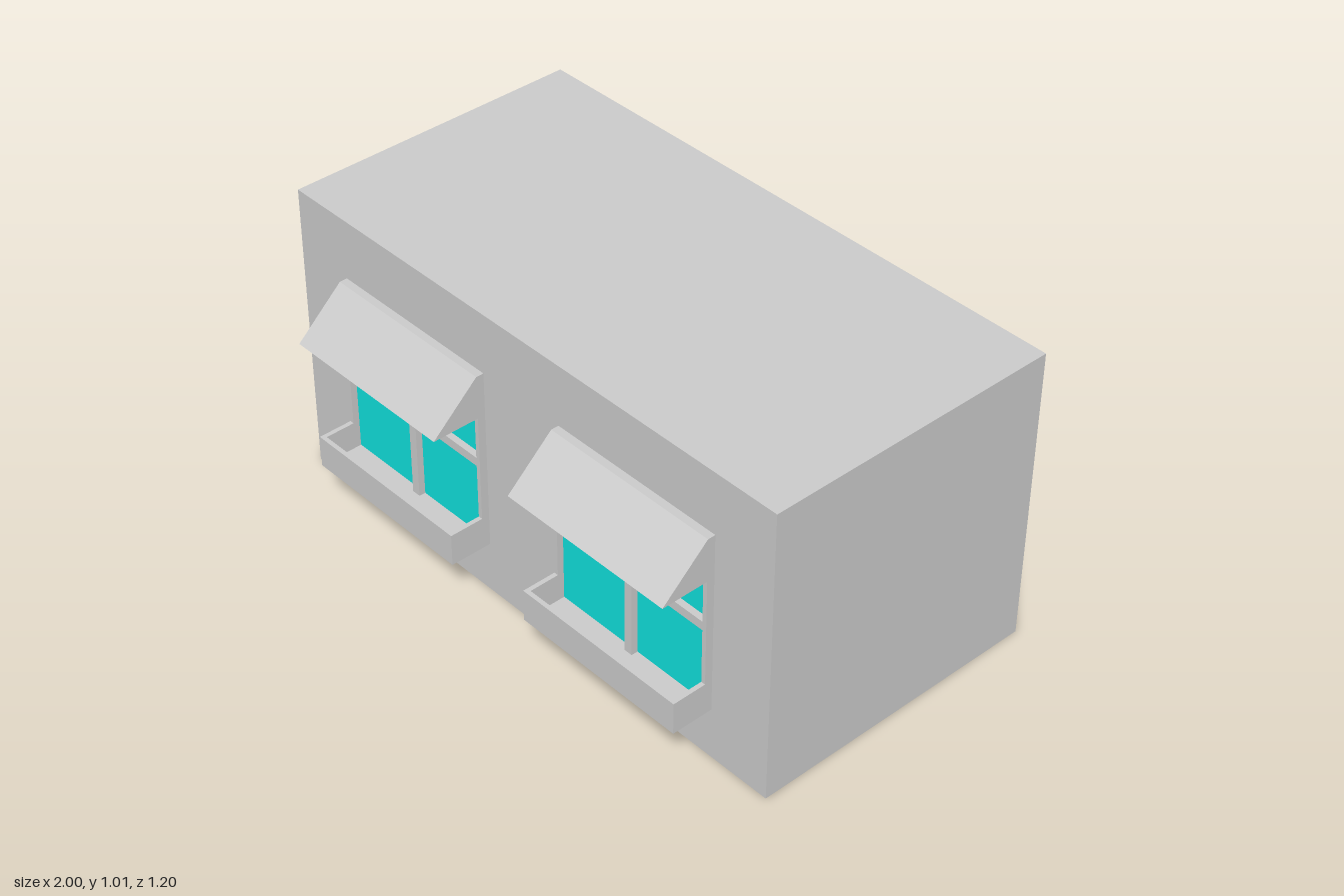
import * as THREE from 'three';

const WALL_Z = 0.414, FRAME_Z = 0.44, LOW = 0.178, HIGH = 0.801, T = 0.015, W = 0.623;
const grey = new THREE.MeshStandardMaterial({ color: 0xcccccc, flatShading: true });
const cyan = new THREE.MeshStandardMaterial({ color: 0x10e0dc, flatShading: true });

function mesh(name, geometry, material = grey) {
  const m = new THREE.Mesh(geometry, material);
  m.name = name;
  return m;
}

function box(name, x0, x1, y0, y1, z0, z1, material) {
  const g = new THREE.BoxGeometry(x1 - x0, y1 - y0, z1 - z0);
  g.translate((x0 + x1) / 2, (y0 + y1) / 2, (z0 + z1) / 2);
  return mesh(name, g, material);
}

// Extrude a (z, y) side profile along x, centred on x
function sideProfile(name, points, width, x = 0) {
  const shape = new THREE.Shape(points.map(([z, y]) => new THREE.Vector2(z, y)));
  const g = new THREE.ExtrudeGeometry(shape, { depth: width, bevelEnabled: false });
  g.translate(0, 0, -width / 2).rotateY(-Math.PI / 2).translate(x, 0, 0);
  return mesh(name, g);
}

function rectangle(PathType, x0, x1, y0, y1) {
  return new PathType([[x0, y0], [x1, y0], [x1, y1], [x0, y1]].map(p => new THREE.Vector2(...p)));
}

function createWindow(name, x) {
  const win = new THREE.Group();
  win.name = name;
  win.position.x = x;
  const h = W / 2, mid = (LOW + HIGH) / 2;

  // Frame with four panes
  const outline = rectangle(THREE.Shape, -h, h, LOW, HIGH);
  for (const [x0, x1] of [[-h + T, -T], [T, h - T]])
    for (const [y0, y1] of [[LOW + T, mid - T], [mid + T, HIGH - T]])
      outline.holes.push(rectangle(THREE.Path, x0, x1, y0, y1));
  const frame = new THREE.ExtrudeGeometry(outline, { depth: FRAME_Z - WALL_Z, bevelEnabled: false });
  frame.translate(0, 0, WALL_Z);
  win.add(mesh('windowFrame', frame));
  win.add(box('glass', -h + T / 2, h - T / 2, LOW + T / 2, HIGH - T / 2, WALL_Z - 0.004, WALL_Z + 0.004, cyan));

  // Sloping awning
  const lip = 0.655, front = 0.6;
  win.add(sideProfile('awningRoof',
    [[FRAME_Z, HIGH], [FRAME_Z, HIGH - 0.02], [front - 0.022, lip], [front, lip]], W));

  // Open planter box: floor, then front
  const rim = 0.287, edge = 0.556;
  win.add(box('planterFloor', -h, h, LOW, LOW + T, FRAME_Z, edge - T));
  win.add(box('planterFront', -h, h, LOW, rim, edge - T, edge));

  // End cheeks of the awning and planter
  for (const s of [-1, 1]) {
    const cx = s * (h - T / 2);
    win.add(sideProfile('awningSide',
      [[FRAME_Z, HIGH - 0.02], [FRAME_Z, lip], [front - 0.022, lip]], T, cx));
    win.add(box('planterSide', cx - T / 2, cx + T / 2, LOW + T, rim, FRAME_Z, edge - T));
  }
  return win;
}

export function createModel() {
  const model = new THREE.Group();
  model.name = 'buildingStorey';
  model.add(box('buildingBlock', -1, 1, 0, 1.006, -0.6, WALL_Z));
  model.add(createWindow('rightWindow', -0.475), createWindow('leftWindow', 0.468));
  return model;
}
